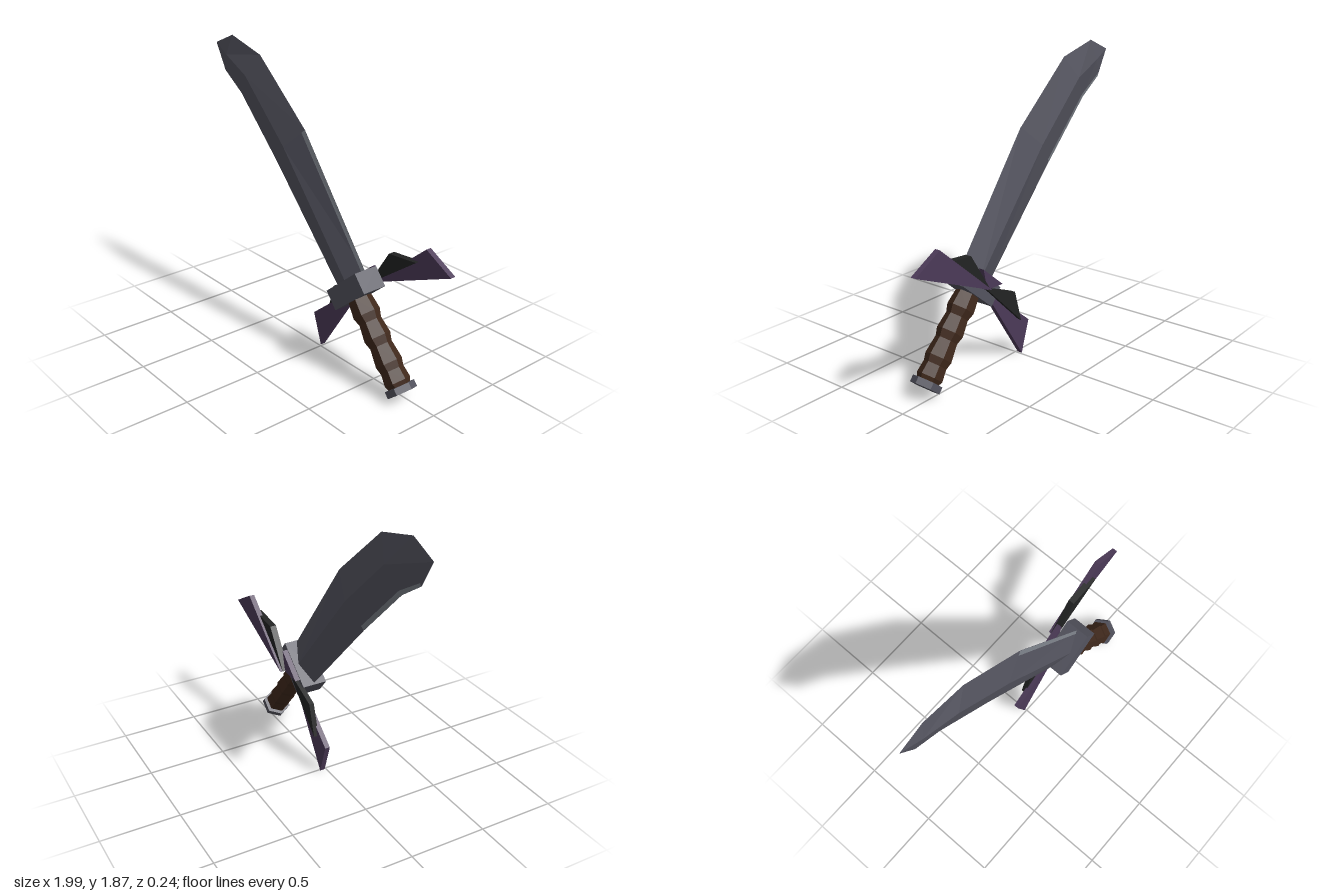
import * as THREE from 'three';

const mat = (name, color, extra = {}) => {
  const m = new THREE.MeshStandardMaterial({ color, ...extra });
  m.name = name;
  return m;
};

// Split shared vertices so every facet is flat
const faceted = (geo) => {
  const g = geo.index ? geo.toNonIndexed() : geo;
  g.computeVertexNormals();
  return g;
};

const quadsToGeometry = (quads) => {
  const pos = [];
  for (const [a, b, c, d] of quads) for (const p of [a, b, c, a, c, d]) pos.push(...p);
  const g = new THREE.BufferGeometry();
  g.setAttribute('position', new THREE.Float32BufferAttribute(pos, 3));
  return faceted(g);
};

export function createModel() {
  const steel = mat('steel', 0x54545f);
  const edgeSteel = mat('edgeSteel', 0x7b8088, { side: THREE.DoubleSide });
  const purple = mat('purple', 0x4c3a58);
  const black = mat('black', 0x222323);
  const brown = mat('brown', 0x40291c);

  const model = new THREE.Group();
  model.name = 'curvedSword';
  const add = (parent, name, geo, material) => {
    const m = new THREE.Mesh(geo, material);
    m.name = name;
    parent.add(m);
    return m;
  };

  // Blade: diamond cross-sections [spine, ridge, cutting edge, half thickness]
  const zc = 0.037;
  const stations = [
    [[0.455, 0.71], [0.345, 0.61], [0.232, 0.513], 0.05],
    [[-0.1, 1.44], [-0.25, 1.31], [-0.38, 1.17], 0.05],
    [[-0.53, 1.81], [-0.63, 1.67], [-0.74, 1.53], 0.046],
    [[-0.82, 1.885], [-0.86, 1.757], [-0.91, 1.645], 0.024],
    [[-1, 1.81], [-1, 1.81], [-1, 1.81], 0],
  ];
  const rings = stations.map(([u, m, l, h]) => [
    [...u, zc], [...m, zc + h], [...l, zc], [...m, zc - h],
  ]);
  const bladeQuads = [];
  for (let k = 0; k < rings.length - 1; k++) {
    for (let i = 0; i < 4; i++) {
      const j = (i + 1) % 4;
      bladeQuads.push([rings[k][i], rings[k + 1][i], rings[k + 1][j], rings[k][j]]);
    }
  }
  add(model, 'blade', quadsToGeometry(bladeQuads), steel);

  // Bright ground strips lying just above the blade faces
  const strip = (name, from, to, edge, ridge, lift) => {
    const inner = (k) => rings[k][edge].map((v, a) => v + (rings[k][ridge][a] - v) * 0.15);
    const raise = (p) => [p[0], p[1], p[2] + lift];
    const quads = [];
    for (let k = from; k < to; k++) {
      quads.push([rings[k][edge], rings[k + 1][edge], inner(k + 1), inner(k)].map(raise));
    }
    add(model, name, quadsToGeometry(quads), edgeSteel);
  };
  strip('spineStrip', 0, 1, 0, 1, 0.002);
  strip('edgeStrip', 1, 3, 2, 3, -0.002);

  // Hilt: built upright around the guard, then tilted
  const hilt = new THREE.Group();
  hilt.name = 'hilt';
  hilt.position.set(0.365, 0.583, 0);
  hilt.rotation.z = 0.691;
  model.add(hilt);

  add(hilt, 'guard', new THREE.BoxGeometry(0.323, 0.128, 0.164), steel).position.z = zc;

  // Six-sided grip with finger swells
  const profile = [
    [0.066, -0.62], [0.08, -0.59], [0.071, -0.515], [0.082, -0.47], [0.068, -0.36],
    [0.082, -0.31], [0.069, -0.21], [0.084, -0.16], [0.072, -0.06],
  ].map(([r, y]) => new THREE.Vector2(r, y));
  add(hilt, 'grip', faceted(new THREE.LatheGeometry(profile, 6, Math.PI / 6)), brown).position.z = zc;

  const pommel = faceted(new THREE.CylinderGeometry(0.093, 0.093, 0.042, 6, 1, false, Math.PI / 6));
  add(hilt, 'pommel', pommel, steel).position.set(0, -0.636, zc);

  // Ribbon plates stacked behind the guard
  const plate = (name, points, zBack, zFront, material) => {
    const shape = new THREE.Shape(points.map(([x, y]) => new THREE.Vector2(x, y)));
    const geo = new THREE.ExtrudeGeometry(shape, { depth: zFront - zBack, bevelEnabled: false });
    add(hilt, name, geo, material).position.z = zBack;
  };
  const longWing = (s) => [[0, 0], [s * 0.649, -0.196], [s * 0.569, 0.006]];
  const shortWing = (s) => [[0, 0], [s * 0.466, -0.032], [s * 0.288, 0.089]];
  plate('rightLongWing', longWing(-1), -0.043, -0.01, purple);
  plate('rightShortWing', shortWing(-1), -0.066, -0.034, black);
  plate('ribbonKnot', [[0, -0.01], [0.11, 0.076], [-0.11, 0.076]], -0.088, -0.053, purple);
  plate('leftShortWing', shortWing(1), -0.108, -0.067, black);
  plate('leftLongWing', longWing(1), -0.124, -0.09, purple);

  return model;
}
